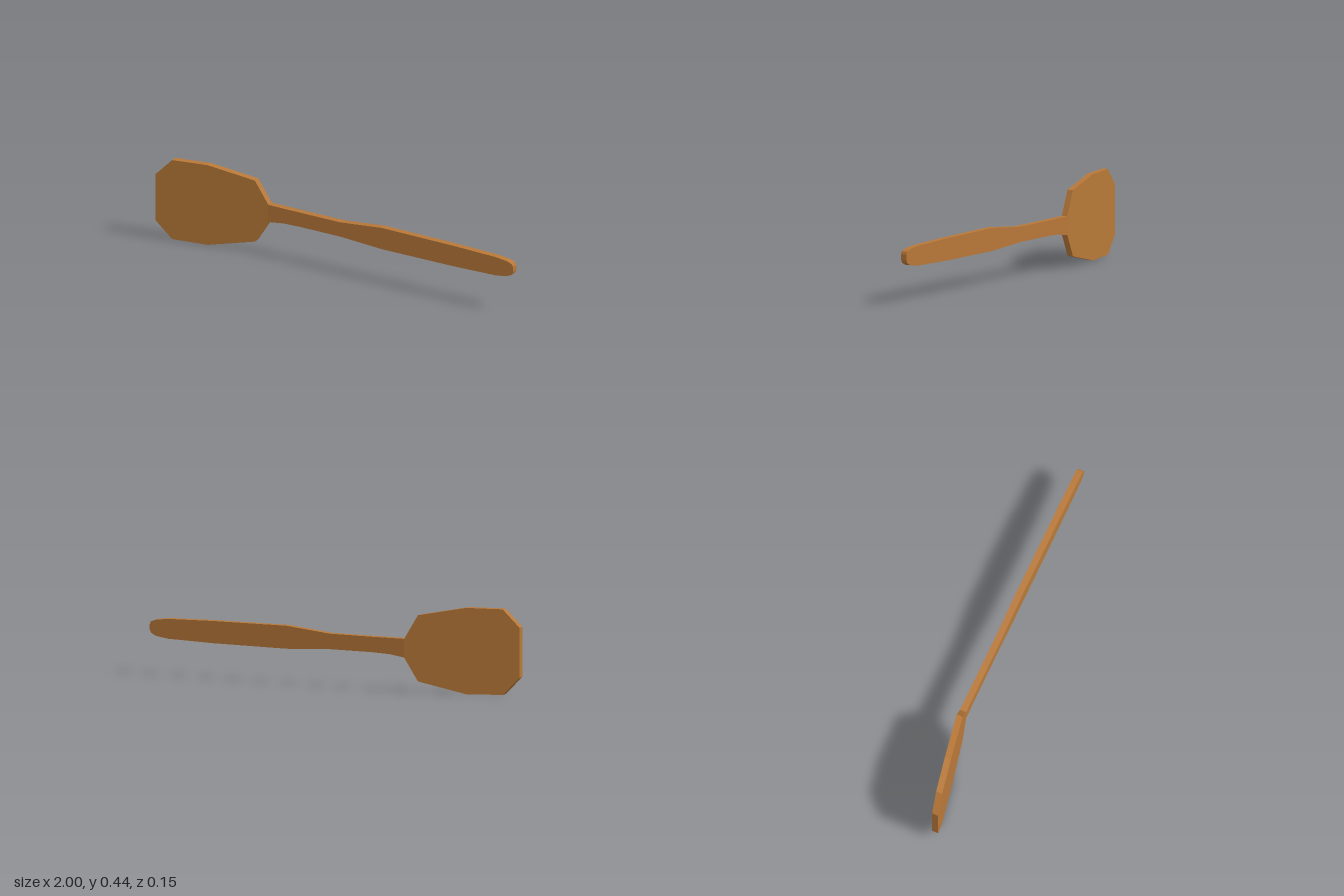
import * as THREE from 'three';

const THICKNESS = 0.033;
const BACK_Z = -0.074;
const BEND_X = -0.415;
const BEND_SLOPE = 0.195;

const wood = new THREE.MeshStandardMaterial({ color: 0xb87838, flatShading: true });

// Flat board cut from an outline; everything left of the bend leans forward
function board(name, outline) {
  const shape = new THREE.Shape(outline.map(([x, y]) => new THREE.Vector2(x, y)));
  const geometry = new THREE.ExtrudeGeometry(shape, { depth: THICKNESS, bevelEnabled: false });
  geometry.translate(0, 0, BACK_Z);
  const p = geometry.attributes.position;
  for (let i = 0; i < p.count; i++) {
    p.setZ(i, p.getZ(i) + BEND_SLOPE * Math.max(0, BEND_X - p.getX(i)));
  }
  geometry.computeVertexNormals();
  const mesh = new THREE.Mesh(geometry, wood);
  mesh.name = name;
  return mesh;
}

export function createModel() {
  const group = new THREE.Group();
  group.name = 'spatula';

  // Wide angled blade with clipped corners
  group.add(board('blade', [
    [BEND_X, 0.173], [BEND_X, 0.267], [-0.485, 0.389], [-0.73, 0.436], [-0.915, 0.436],
    [-1, 0.347], [-1, 0.093], [-0.915, 0.004], [-0.73, 0], [-0.485, 0.055],
  ]));

  // Narrow neck swelling into a rounded grip
  group.add(board('handle', [
    [BEND_X, 0.173], [-0.33, 0.185], [-0.24, 0.188], [0, 0.188], [0.24, 0.174], [0.65, 0.175],
    [0.9, 0.181], [0.965, 0.191], [0.993, 0.205], [1, 0.222], [1, 0.248], [0.993, 0.263],
    [0.965, 0.273], [0.9, 0.281], [0.65, 0.287], [0.24, 0.29], [0, 0.266], [-0.22, 0.266], [BEND_X, 0.267],
  ]));

  return group;
}
